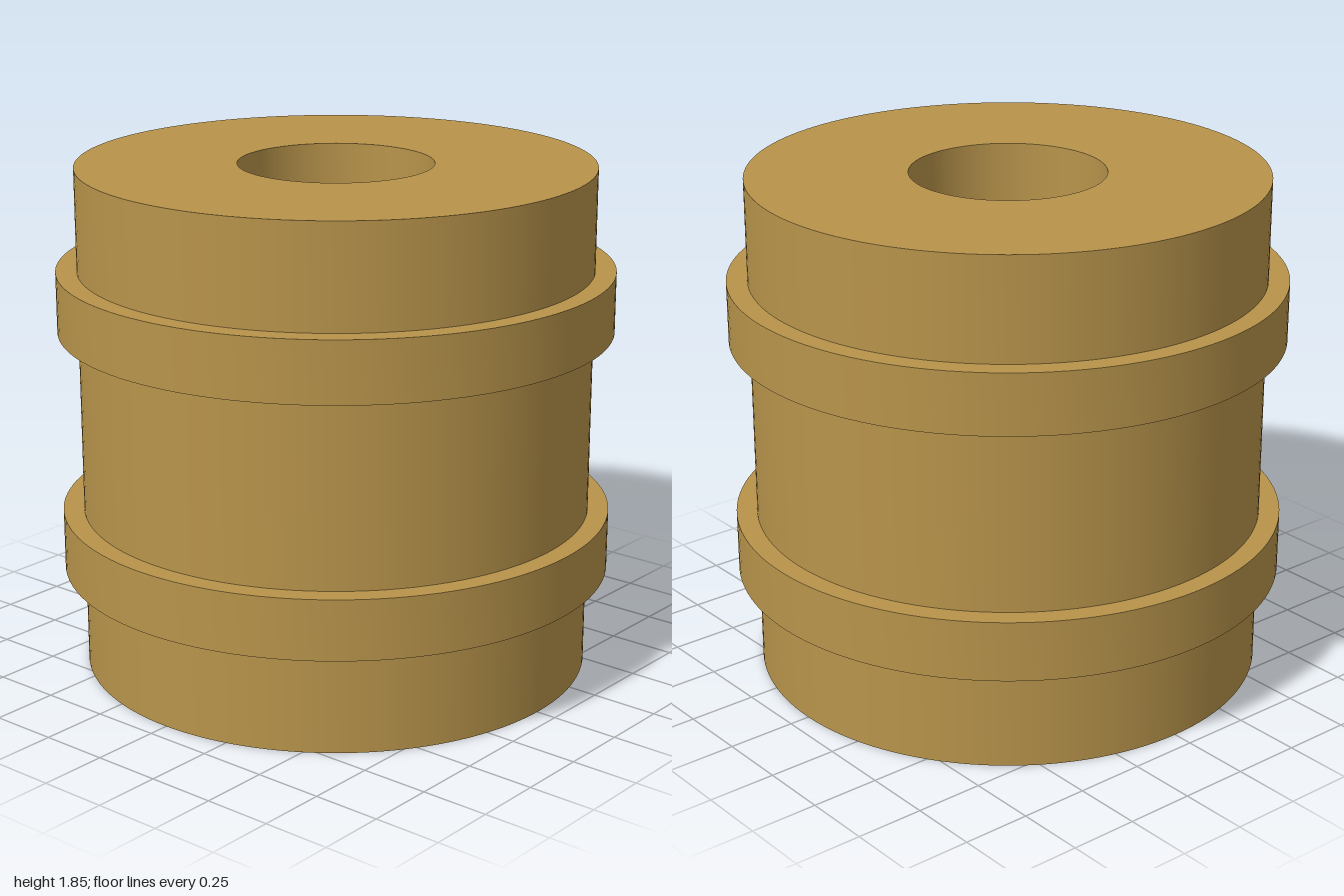
import * as THREE from 'three';
import { toCreasedNormals } from 'three/addons/utils/BufferGeometryUtils.js';

const BODY_RADIUS = 0.925, BORE_RADIUS = 0.35, HEIGHT = 1.85;
const RING_RADIUS = 1, RING_HEIGHT = 0.22, RING_INSET = 0.37;

// Revolves an [r, y] profile, keeping its corners sharp.
function turned(name, profile, material) {
  const points = profile.map(([r, y]) => new THREE.Vector2(r, y));
  const geometry = toCreasedNormals(new THREE.LatheGeometry(points, 128), Math.PI / 6);
  const mesh = new THREE.Mesh(geometry, material);
  mesh.name = name;
  return mesh;
}

export function createModel() {
  const group = new THREE.Group();
  group.name = 'ringedBushing';
  const brass = new THREE.MeshStandardMaterial({ color: 0xb8944b });

  // Sleeve with a through bore
  group.add(turned('sleeve', [
    [BORE_RADIUS, 0], [BODY_RADIUS, 0], [BODY_RADIUS, HEIGHT],
    [BORE_RADIUS, HEIGHT], [BORE_RADIUS, 0],
  ], brass));

  // Two raised collars, mirrored about mid-height
  const collars = { lowerCollar: RING_INSET, upperCollar: HEIGHT - RING_INSET - RING_HEIGHT };
  for (const [name, y] of Object.entries(collars)) {
    const collar = turned(name, [
      [BODY_RADIUS, 0], [RING_RADIUS, 0],
      [RING_RADIUS, RING_HEIGHT], [BODY_RADIUS, RING_HEIGHT],
    ], brass);
    collar.position.y = y;
    group.add(collar);
  }
  return group;
}
